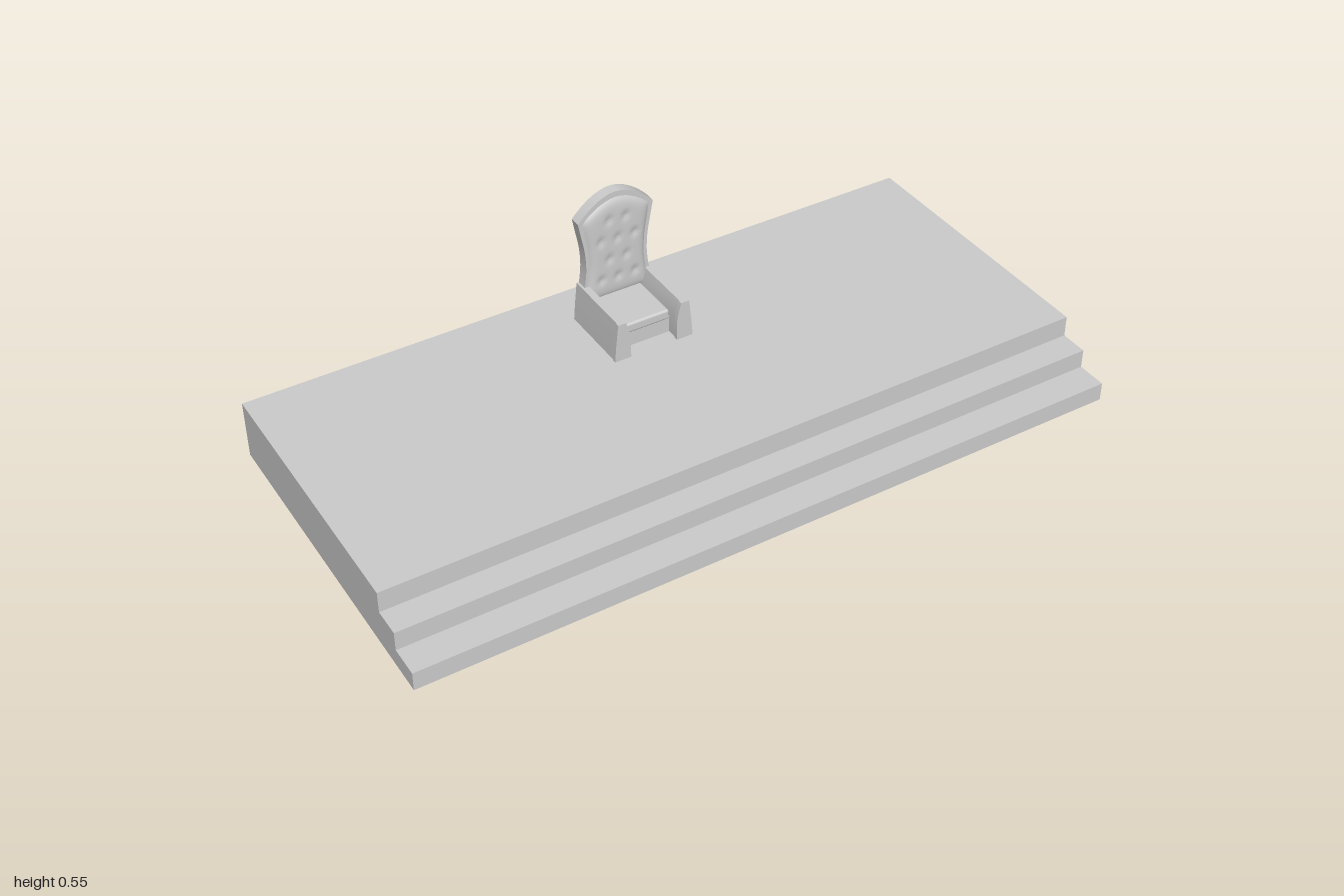
import * as THREE from 'three';
import { toCreasedNormals } from 'three/addons/utils/BufferGeometryUtils.js';
import { RoundedBoxGeometry } from 'three/addons/geometries/RoundedBoxGeometry.js';

const FLOOR = 0.167; // top of the platform
const BACK_Z = -0.357; // rear face of the chair
const grey = new THREE.MeshStandardMaterial({ color: 0xcccccc });

function add(parent, name, geometry) {
  const mesh = new THREE.Mesh(geometry, grey);
  mesh.name = name;
  parent.add(mesh);
  return mesh;
}

function polygon(points) {
  return new THREE.Shape(points.map(([x, y]) => new THREE.Vector2(x, y)));
}

function extrude(shape, depth, z) {
  const geometry = new THREE.ExtrudeGeometry(shape, { depth, bevelEnabled: false });
  return toCreasedNormals(geometry.translate(0, 0, z), 0.6);
}

// Waisted side edge of the backrest, from floor to shoulder
const side = new THREE.SplineCurve([
  [0.115, FLOOR], [0.108, 0.225], [0.097, 0.28], [0.091, 0.335], [0.094, 0.39], [0.103, 0.44], [0.111, 0.483],
].map(([x, y]) => new THREE.Vector2(x, y)));

// Height of the arched top above the shoulders, u running -1..1
const arch = (u) => 0.064 * (1 - Math.pow(Math.abs(u), 1.9));

function backFrame() {
  const right = side.getPoints(24);
  const top = [];
  for (let i = 1; i < 24; i++) {
    const u = 1 - i / 12;
    top.push(new THREE.Vector2(0.111 * u, 0.483 + arch(u)));
  }
  const left = right.map((p) => new THREE.Vector2(-p.x, p.y)).reverse();
  return extrude(new THREE.Shape([...right, ...top, ...left]), 0.032, BACK_Z);
}

// Padded panel with rows of button dimples, following the backrest outline
function backPadding() {
  const geometry = new THREE.PlaneGeometry(2, 1, 36, 36);
  const pos = geometry.attributes.position;
  const buttons = [];
  [0.29, 0.35, 0.41, 0.47].forEach((y, row) => {
    const xs = row % 2 ? [-0.025, 0.025] : [-0.05, 0, 0.05];
    xs.forEach((x) => buttons.push([x, y]));
  });
  for (let i = 0; i < pos.count; i++) {
    const u = pos.getX(i);
    const v = pos.getY(i) + 0.5;
    const edge = side.getPoint(0.18 + 0.8 * v);
    const x = u * edge.x * 0.9;
    const y = edge.y + v * v * arch(u) * 0.8;
    let z = 0.0095 * (1 - Math.pow(u, 10)) * (1 - Math.pow(2 * v - 1, 12));
    for (const [bx, by] of buttons) {
      const d2 = (x - bx) ** 2 + (y - by) ** 2;
      z -= 0.005 * Math.exp(-d2 / 0.00012);
    }
    pos.setXYZ(i, x, y, -0.3255 + z);
  }
  geometry.computeVertexNormals();
  return geometry;
}

function buildArm(sign) {
  const arm = new THREE.Group();
  arm.name = sign > 0 ? 'leftArm' : 'rightArm';
  // Tapered section; inset narrows the body behind the front facing
  const section = (inset) => {
    const points = [
      [0.069 + inset, FLOOR], [0.117 - inset, FLOOR], [0.113 - inset, 0.215],
      [0.106 - inset, 0.28], [0.082 + inset, 0.28], [0.07 + inset, 0.235],
    ].map(([x, y]) => [x * sign, y]);
    return polygon(sign > 0 ? points : points.reverse());
  };
  add(arm, 'armBody', extrude(section(0.002), 0.208, BACK_Z));
  add(arm, 'armFrontFacing', extrude(section(0), 0.012, -0.149));
  return arm;
}

function buildChair() {
  const chair = new THREE.Group();
  chair.name = 'armchair';
  add(chair, 'backFrame', backFrame());
  add(chair, 'backPadding', backPadding());
  chair.add(buildArm(1), buildArm(-1));

  // Seat base with a cushion on top
  const base = add(chair, 'seatBase', new THREE.BoxGeometry(0.146, 0.05, 0.15));
  base.position.set(0, FLOOR + 0.025, -0.255);
  const cushion = add(chair, 'seatCushion', new RoundedBoxGeometry(0.142, 0.03, 0.152, 3, 0.007));
  cushion.position.set(0, 0.224, -0.253);
  return chair;
}

export function createModel() {
  const model = new THREE.Group();
  model.name = 'steppedPlatformWithArmchair';

  // Stepped section (z, y) swept along the width
  const profile = polygon([
    [-0.48, 0], [0.48, 0], [0.48, 0.053], [0.395, 0.053],
    [0.395, 0.107], [0.317, 0.107], [0.317, FLOOR], [-0.48, FLOOR],
  ]);
  const platform = extrude(profile, 2, -1);
  platform.rotateY(-Math.PI / 2);
  add(model, 'steppedPlatform', platform);

  model.add(buildChair());
  return model;
}
